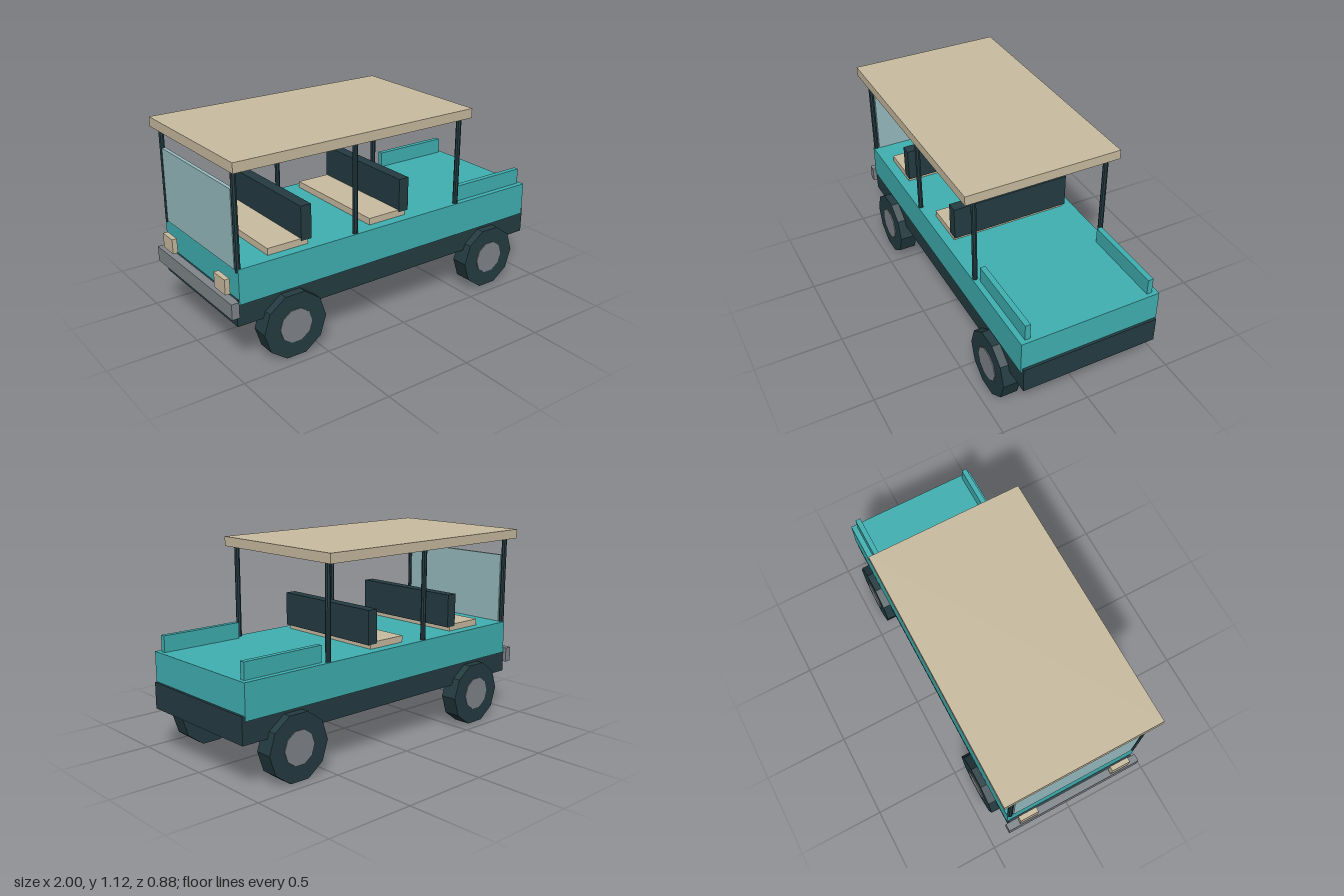
import * as THREE from 'three';

export function createModel() {
  const model = new THREE.Group();
  model.name = 'safariTruck';

  const mat = (name, color) => {
    const m = new THREE.MeshStandardMaterial({ color });
    m.name = name;
    return m;
  };
  const teal = mat('teal paint', 0x40b0b2);
  const dark = mat('dark frame', 0x243c42);
  const tan = mat('tan canvas', 0xc9bca0);
  const grey = mat('grey metal', 0x80868b);
  const glass = mat('pale glass', 0x97bcc0);

  const add = (name, geometry, material, x, y, z) => {
    const mesh = new THREE.Mesh(geometry, material);
    mesh.name = name;
    mesh.position.set(x, y, z);
    model.add(mesh);
    return mesh;
  };
  // Box given by its limits on each axis
  const box = (name, material, [x0, x1], [y0, y1], [z0, z1]) =>
    add(name, new THREE.BoxGeometry(x1 - x0, y1 - y0, z1 - z0), material,
      (x0 + x1) / 2, (y0 + y1) / 2, (z0 + z1) / 2);
  // Ten-sided disc facing z, with corners pointing along x
  const disc = (radius, width) =>
    new THREE.CylinderGeometry(radius, radius, width, 10)
      .rotateY(Math.PI / 10).rotateX(Math.PI / 2).toNonIndexed();
  const faceted = (geometry) => { geometry.computeVertexNormals(); return geometry; };

  // Hull and roof
  box('chassis', dark, [-0.96, 1.0], [0.25, 0.395], [-0.388, 0.388]);
  box('body', teal, [-0.947, 0.986], [0.37, 0.56], [-0.396, 0.396]);
  box('roof', tan, [-0.973, 0.491], [1.067, 1.12], [-0.441, 0.441]);

  // The nose points along -x
  box('windshield', glass, [-0.95, -0.93], [0.55, 0.964], [-0.362, 0.362]);
  box('bumper', grey, [-1.0, -0.958], [0.31, 0.395], [-0.41, 0.41]);

  // Two bench seats
  for (const x of [-0.63, 0]) {
    box('seatCushion', tan, [x - 0.12, x + 0.12], [0.555, 0.597], [-0.34, 0.34]);
    box('seatBack', dark, [x + 0.078, x + 0.14], [0.585, 0.774], [-0.343, 0.343]);
  }

  const wheelGeo = faceted(disc(0.185, 0.098));
  const hubGeo = faceted(disc(0.095, 0.1));
  const postGeo = faceted(new THREE.CylinderGeometry(0.0145, 0.0145, 0.53, 8).toNonIndexed());

  // Parts mirrored left and right
  for (const s of [-1, 1]) {
    const side = (a, b) => (s > 0 ? [a, b] : [-b, -a]);
    for (const x of [-0.94, -0.243, 0.455]) add('roofPost', postGeo, dark, x, 0.805, s * 0.379);
    box('bedRail', teal, [0.488, 0.964], [0.555, 0.65], side(0.335, 0.365));
    box('headlight', tan, [-0.994, -0.966], [0.415, 0.498], side(0.23, 0.34));
    for (const x of [-0.653, 0.692]) {
      add('wheel', wheelGeo, dark, x, 0.178, s * 0.384);
      add('hub', hubGeo, grey, x, 0.178, s * 0.388);
    }
  }
  return model;
}
